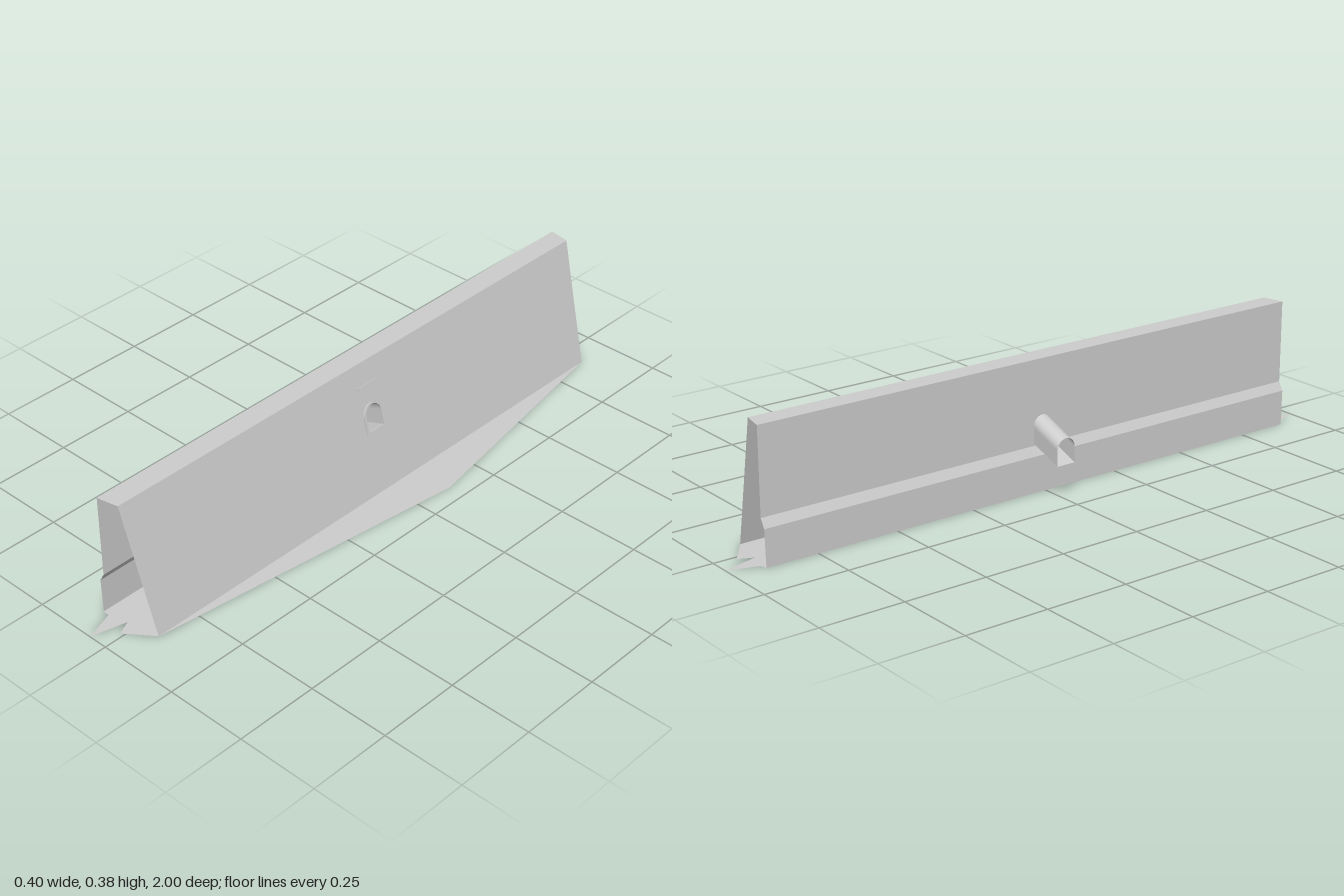
import * as THREE from 'three';

const concrete = new THREE.MeshStandardMaterial({ color: 0xcccccc, side: THREE.DoubleSide });
concrete.name = 'pale concrete';

const HEIGHT = 0.383;
// x of the sloping face at height y
const slopeX = (y) => 0.07 - (0.1 * y) / HEIGHT;

// Arch outline as [z, height] pairs: flat sill, straight sides, round head
function archPoints(halfWidth, straight, base = 0, scale = 1) {
  const pts = [[-halfWidth, 0], [halfWidth, 0]];
  for (let i = 0; i <= 16; i++) {
    const a = (Math.PI * i) / 16;
    pts.push([halfWidth * Math.cos(a), straight + halfWidth * Math.sin(a)]);
  }
  return pts.map(([z, h]) => new THREE.Vector2(z, base + h * scale));
}

function part(name, geometry) {
  const mesh = new THREE.Mesh(geometry, concrete);
  mesh.name = name;
  return mesh;
}

// Bends a flat shape (or slab) into place with a rule from (u, v, w) to [x, y, z]
function place(geometry, rule) {
  const p = geometry.attributes.position;
  for (let i = 0; i < p.count; i++) p.setXYZ(i, ...rule(p.getX(i), p.getY(i), p.getZ(i)));
  geometry.computeVertexNormals();
  return geometry;
}

// Symmetric long panel: z half-lengths at its lower and upper edges, optional hole
function panel(v0, z0, v1, z1, rule, hole) {
  const shape = new THREE.Shape([[-z0, v0], [z0, v0], [z1, v1], [-z1, v1]].map((q) => new THREE.Vector2(...q)));
  if (hole) shape.holes.push(new THREE.Path(hole));
  return place(new THREE.ShapeGeometry(shape), rule);
}

export function createModel() {
  const group = new THREE.Group();
  group.name = 'dam';

  // Dam shell, open at both ends
  group.add(part('slopingFace', panel(0, 0.878, HEIGHT, 0.897,
    (u, v) => [slopeX(v), v, -u], archPoints(0.03, 0.047, 0.183, 0.97))));
  group.add(part('crest', panel(-0.095, 0.91, -0.03, 0.897, (u, v) => [v, HEIGHT, u])));
  group.add(part('backWall', panel(0.133, 0.91, HEIGHT, 0.91,
    (u, v) => [-0.095, v, u], archPoints(0.03, 0.047, 0.139))));
  group.add(part('backLedge', panel(0.107, 0.91, 0.133, 0.91,
    (u, v) => [-0.11 + ((v - 0.107) / 0.026) * 0.015, v, u])));
  group.add(part('backFoot', panel(0, 0.908, 0.107, 0.91, (u, v) => [-0.11, v, u])));

  // Floor sheet with a pointed apron and jagged ends
  const end = [[-0.11, 0.908], [-0.09, 0.91], [-0.06, 0.998], [-0.032, 0.895], [-0.012, 0.938], [0.07, 0.877]];
  const outline = [...end, [0.197, -0.12], ...end.map(([x, z]) => [x, -z]).reverse()];
  const floor = new THREE.ShapeGeometry(new THREE.Shape(outline.map((q) => new THREE.Vector2(...q))));
  group.add(part('floor', place(floor, (u, v) => [u, 0, v])));

  // Arched outlet running down through the dam
  const arch = archPoints(0.03, 0.047);
  const pos = [];
  const outer = (q) => [-0.2, 0.102 + q.y, -q.x];
  const inner = (q) => {
    const y = 0.183 + q.y * 0.97;
    return [slopeX(y), y, -q.x];
  };
  arch.forEach((a, i) => {
    const b = arch[(i + 1) % arch.length];
    pos.push(...outer(a), ...outer(b), ...inner(b), ...outer(a), ...inner(b), ...inner(a));
  });
  const pipe = new THREE.BufferGeometry();
  pipe.setAttribute('position', new THREE.Float32BufferAttribute(pos, 3));
  pipe.computeVertexNormals();
  group.add(part('outletTunnel', pipe));

  // Raised frame around the intake
  const frame = new THREE.Shape(archPoints(0.037, 0.047, 0.179));
  frame.holes.push(new THREE.Path(archPoints(0.03, 0.047, 0.183, 0.97)));
  const ring = new THREE.ExtrudeGeometry(frame, { depth: 0.007, bevelEnabled: false });
  group.add(part('intakeFrame', place(ring, (u, v, w) => [slopeX(v) + w - 0.002, v + w * 0.25, -u])));

  // Small plain plate above the intake
  const plate = part('plate', new THREE.BoxGeometry(0.004, 0.013, 0.074));
  plate.position.set(-0.01, 0.313, 0);
  plate.rotation.z = Math.atan(0.1 / HEIGHT);
  group.add(plate);

  return group;
}
